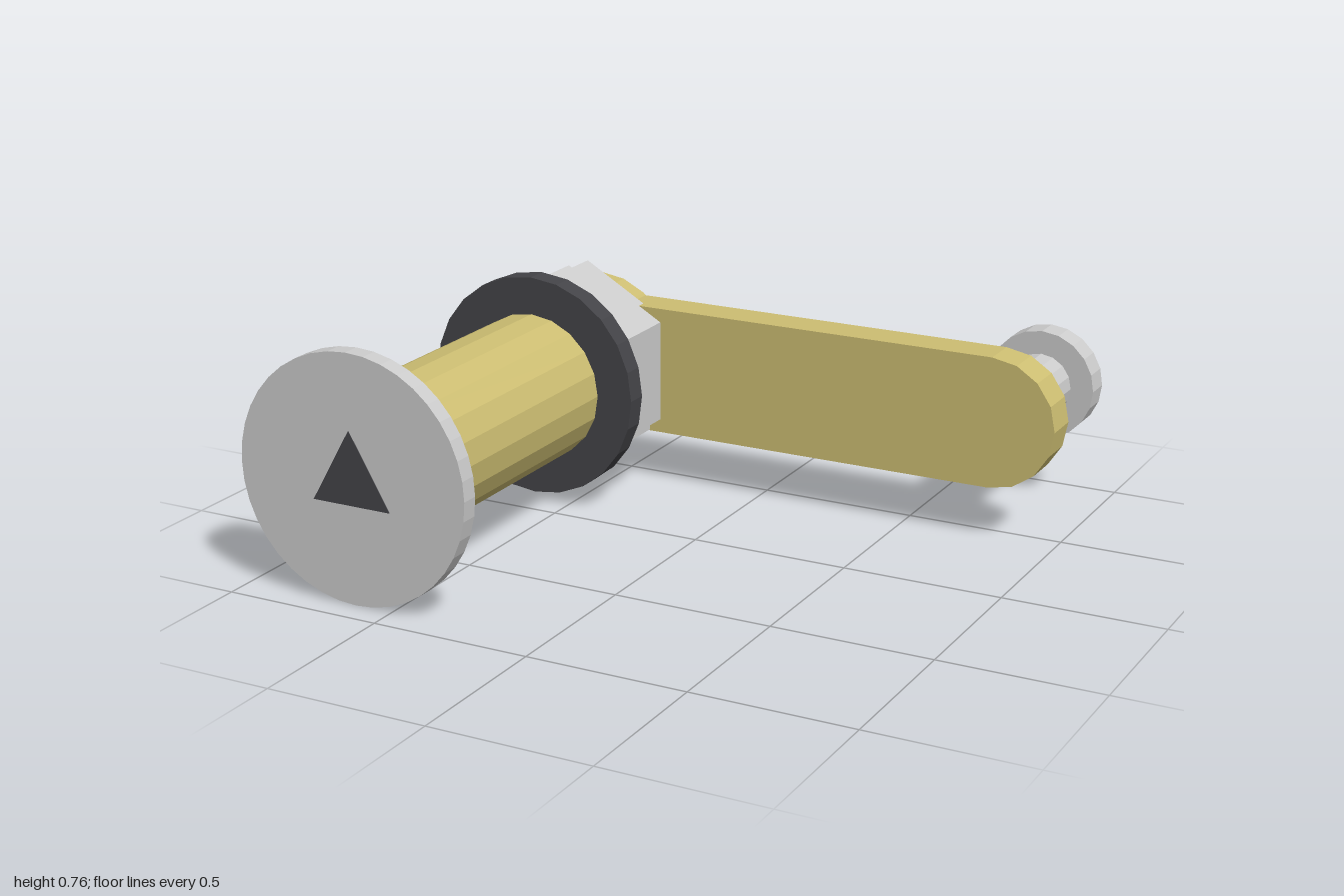
import * as THREE from 'three';

const AXIS_X = -0.62, KNOB_X = 0.79, AXIS_Y = 0.385;

export function createModel() {
  const model = new THREE.Group();
  model.name = 'crankHandle';

  const material = (color) => new THREE.MeshStandardMaterial({ color, flatShading: true });
  const steel = material(0xcccccc);
  const brass = material(0xcdbe72);
  const rubber = material(0x444448);

  const add = (name, geometry, mat) => {
    const mesh = new THREE.Mesh(geometry, mat);
    mesh.name = name;
    model.add(mesh);
  };

  // Prism or disc lying along z, with its first corner pointing up
  const disc = (name, x, radius, zBack, zFront, sides, mat) => {
    const geometry = new THREE.CylinderGeometry(radius, radius, zFront - zBack, sides);
    geometry.rotateX(-Math.PI / 2);
    geometry.translate(x, AXIS_Y, (zBack + zFront) / 2);
    add(name, geometry, mat);
  };

  // Main spindle, front to back
  disc('faceMarker', AXIS_X, 0.15, 0.9, 0.918, 3, rubber);
  disc('frontFlange', AXIS_X, 0.38, 0.86, 0.916, 40, steel);
  disc('shaft', AXIS_X, 0.235, -0.08, 0.86, 20, brass);
  disc('washer', AXIS_X, 0.354, -0.15, -0.08, 24, rubber);
  disc('largeNut', AXIS_X, 0.337, -0.315, -0.15, 6, steel);
  disc('smallNut', AXIS_X, 0.325, -0.435, -0.315, 6, steel);
  disc('leverBoss', AXIS_X, 0.265, -0.525, -0.435, 20, brass);

  // Lever arm with a rounded outer end
  const half = 0.207, points = [new THREE.Vector2(-0.46, -half)];
  for (let i = 0; i <= 8; i++) {
    const a = -Math.PI / 2 + (i * Math.PI) / 8;
    points.push(new THREE.Vector2(KNOB_X + half * Math.cos(a), half * Math.sin(a)));
  }
  points.push(new THREE.Vector2(-0.46, half));
  const lever = new THREE.ExtrudeGeometry(new THREE.Shape(points), { depth: 0.12, bevelEnabled: false });
  lever.translate(0, AXIS_Y, -0.525);
  add('leverArm', lever, brass);

  // Grip at the end of the lever
  disc('knobStem', KNOB_X, 0.102, -0.835, -0.525, 16, steel);
  disc('knobHead', KNOB_X, 0.176, -0.92, -0.835, 20, steel);

  return model;
}
